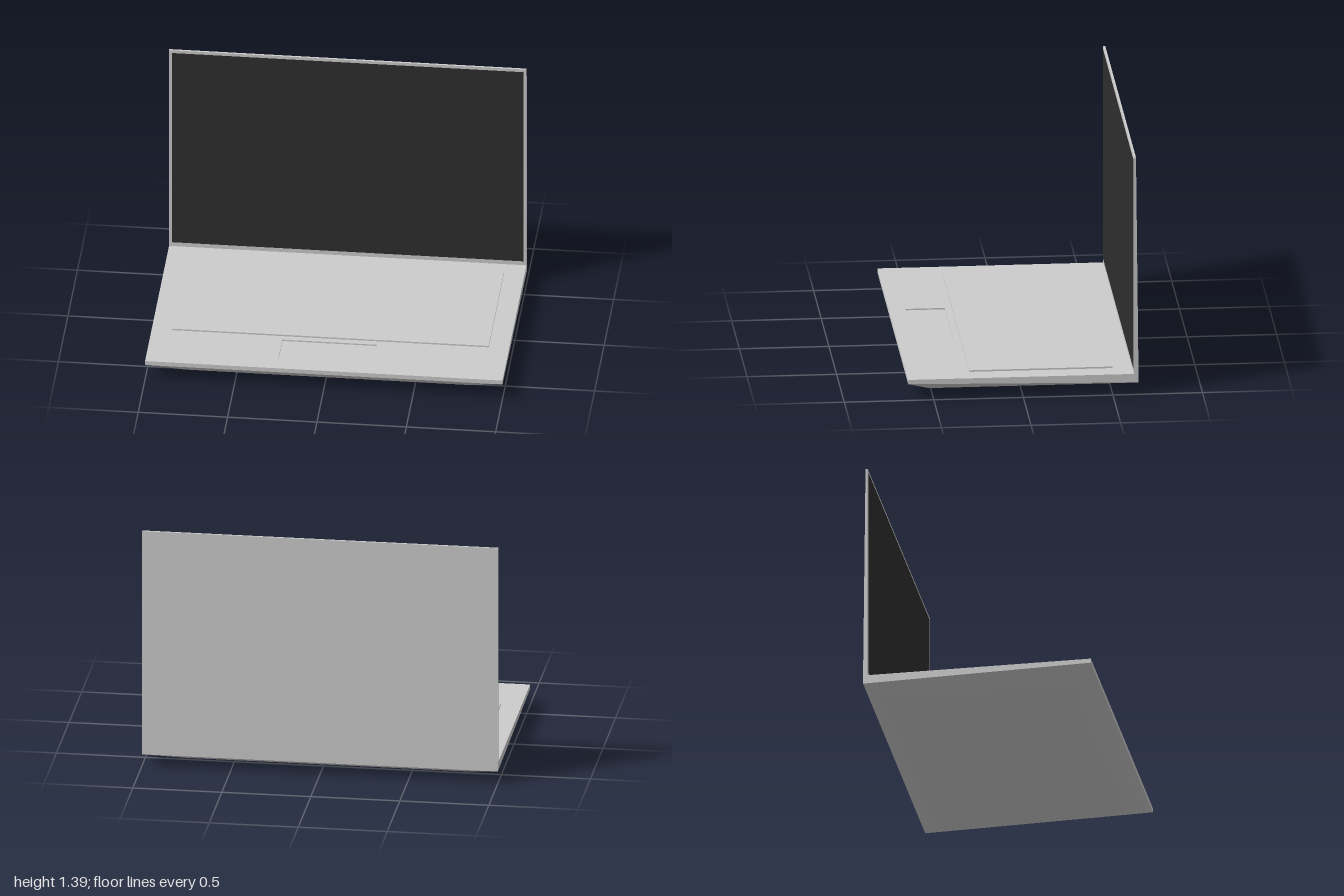
import * as THREE from 'three';

const grey = new THREE.MeshStandardMaterial({ color: 0xcccccc });
const dark = new THREE.MeshStandardMaterial({ color: 0x2e2e2e });

const FRONT = 0.643, BACK = -0.643, DECK = 0.12, RECESS = 0.008;

// Side profile of [z, y] points, extruded across the full width
function sideProfile(points) {
  const shape = new THREE.Shape(points.map(([z, y]) => new THREE.Vector2(z, y)));
  return new THREE.ExtrudeGeometry(shape, { depth: 2, bevelEnabled: false })
    .translate(0, 0, -1)
    .rotateY(-Math.PI / 2);
}

// Rectangle in plan, drawn as (x, -z)
function planRect(target, x, zBack, zFront) {
  target.moveTo(-x, -zFront);
  target.lineTo(x, -zFront);
  target.lineTo(x, -zBack);
  target.lineTo(-x, -zBack);
  target.closePath();
  return target;
}

// Smooth-shaded underside: rim corners sloping in to a smaller floor
function trayGeometry() {
  const rim = [[1, 0.095, FRONT], [1, 0.07, BACK], [-1, 0.07, BACK], [-1, 0.095, FRONT]];
  const floor = [[0.79, 0, 0.51], [0.79, 0, -0.475], [-0.79, 0, -0.475], [-0.79, 0, 0.51]];
  const index = [4, 6, 5, 4, 7, 6];
  for (let i = 0; i < 4; i++) {
    const j = (i + 1) % 4;
    index.push(i, i + 4, j, j, i + 4, j + 4);
  }
  const geometry = new THREE.BufferGeometry();
  geometry.setAttribute('position', new THREE.Float32BufferAttribute([...rim, ...floor].flat(), 3));
  geometry.setIndex(index);
  geometry.computeVertexNormals();
  return geometry;
}

export function createModel() {
  const group = new THREE.Group();
  const add = (name, geometry, material = grey) => {
    const mesh = new THREE.Mesh(geometry, material);
    mesh.name = name;
    group.add(mesh);
    return mesh;
  };

  // Wedge-shaped base, thicker at the hinge
  const under = DECK - RECESS;
  add('baseBody', sideProfile([[FRONT, 0.095], [FRONT, under], [BACK, under], [BACK, 0.07]]));
  add('baseTray', trayGeometry());

  // Deck with the sunken trackpad opening
  const deck = planRect(new THREE.Shape(), 1, BACK, FRONT);
  deck.holes.push(planRect(new THREE.Path(), 0.265, 0.33, 0.55));
  add('deckWithTrackpad', new THREE.ExtrudeGeometry(deck, { depth: RECESS, bevelEnabled: false })
    .rotateX(-Math.PI / 2)
    .translate(0, under, 0));

  // Raised keyboard plate
  add('keyboardPlate', new THREE.BoxGeometry(1.77, 0.01, 0.8)).position.set(0, DECK + 0.004, -0.108);

  // Upright lid, tapering towards the top
  add('lid', sideProfile([[-0.617, DECK], [-0.617, 1.387], [-0.629, 1.387], [BACK, DECK]]));

  // Display panel
  add('screen', new THREE.PlaneGeometry(1.965, 1.225), dark).position.set(0, 0.758, -0.6155);

  return group;
}
